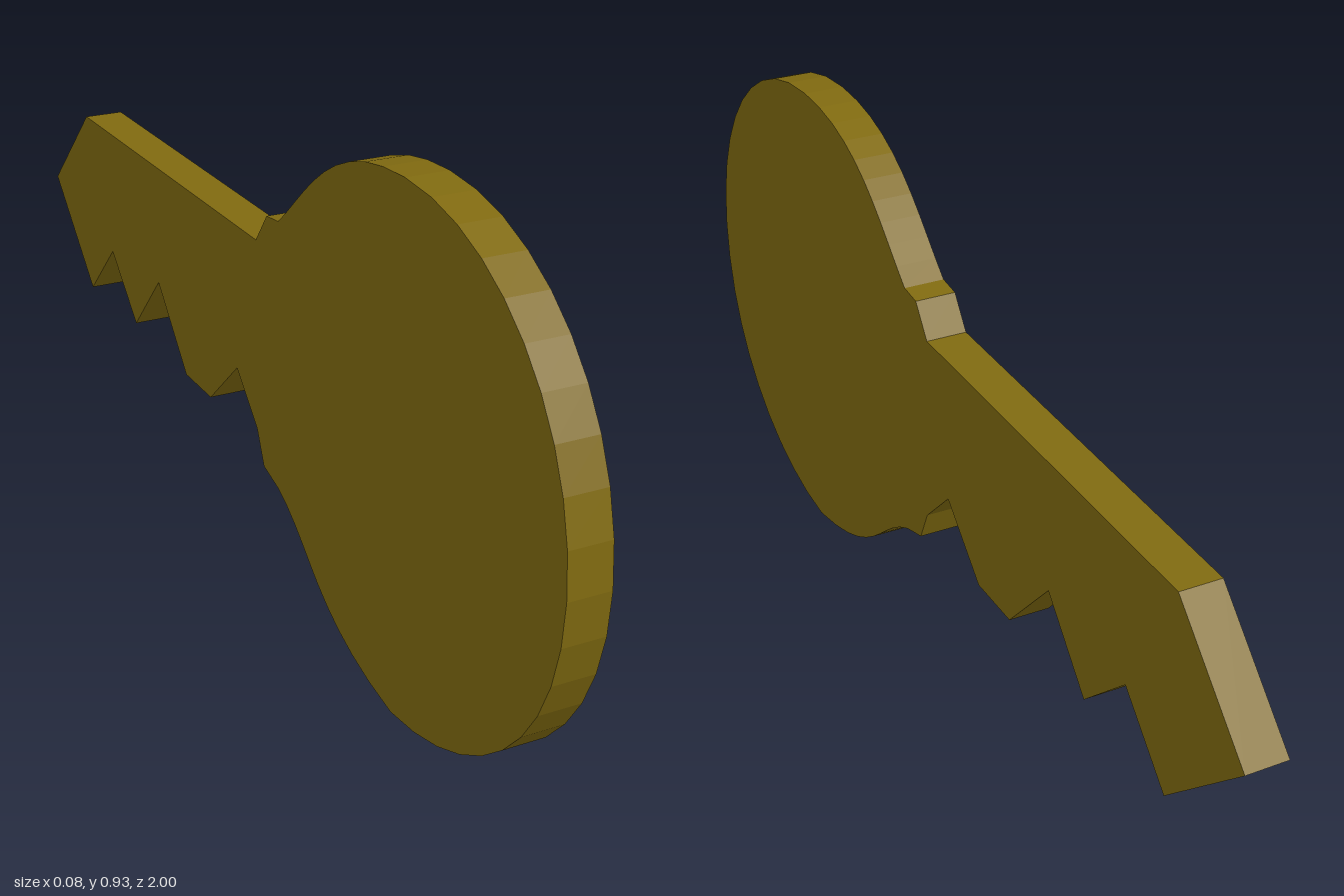
import * as THREE from 'three';

const THICKNESS = 0.076;

// Side profile of the key: u runs from the bow (-1) to the tip (+1), v is height.
function keyProfile() {
  const s = new THREE.Shape();
  // rounded bow
  s.moveTo(-0.1, 0.215);
  s.bezierCurveTo(-0.23, 0.16, -0.25, 0.04, -0.525, 0);
  s.bezierCurveTo(-0.79, 0.01, -1, 0.2, -1, 0.465);
  s.bezierCurveTo(-1, 0.73, -0.79, 0.93, -0.525, 0.93);
  s.bezierCurveTo(-0.29, 0.93, -0.21, 0.81, -0.1, 0.72);
  // upper shoulder, straight spine and pointed tip
  const blade = [
    [-0.055, 0.715], [-0.012, 0.657], [0.805, 0.65], [1, 0.46],
    // teeth, from the tip back to the bow
    [0.805, 0.27], [0.68, 0.395], [0.56, 0.28], [0.435, 0.415],
    [0.305, 0.27], [0.19, 0.27], [0.07, 0.38],
    // lower shoulder
    [-0.015, 0.295], [-0.043, 0.232],
  ];
  blade.forEach(([u, v]) => s.lineTo(u, v));
  s.closePath();
  return s;
}

export function createModel() {
  const group = new THREE.Group();
  group.name = 'key';

  const geometry = new THREE.ExtrudeGeometry(keyProfile(), {
    depth: THICKNESS, bevelEnabled: false, curveSegments: 10,
  });
  // centre the thickness, then turn the profile so the bow faces +z
  geometry.translate(0, 0, -THICKNESS / 2);
  geometry.rotateY(Math.PI / 2);

  const body = new THREE.Mesh(geometry, new THREE.MeshStandardMaterial({ color: 0x806a10 }));
  body.name = 'keyBody';
  group.add(body);
  return group;
}
